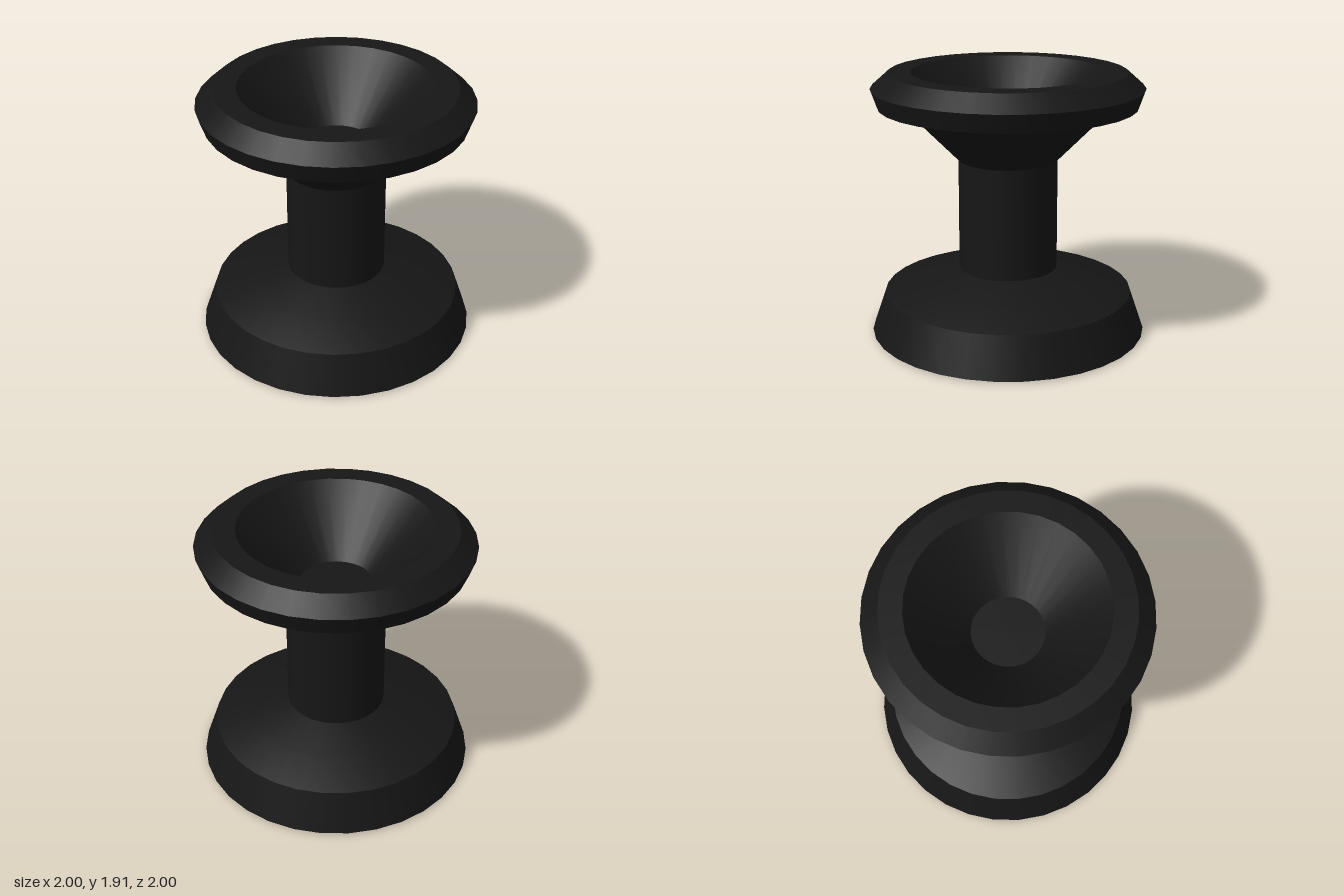
import * as THREE from 'three';
import { mergeGeometries } from 'three/addons/utils/BufferGeometryUtils.js';

const SIDES = 32;
const material = new THREE.MeshStandardMaterial({ color: 0x161616 });

// Turned part: each band is its own lathe, so it is smooth around and sharp between bands.
function turned(name, ...bands) {
  const lathes = bands.map(band =>
    new THREE.LatheGeometry(band.map(([r, y]) => new THREE.Vector2(r, y)), SIDES));
  const mesh = new THREE.Mesh(mergeGeometries(lathes), material);
  mesh.name = name;
  return mesh;
}

export function createModel() {
  const group = new THREE.Group();
  group.name = 'pedestalDish';

  // Flared foot with a gently domed top
  group.add(turned('base',
    [[0, 0], [1, 0.01]],
    [[1, 0.01], [0.9, 0.3]],
    [[0.9, 0.3], [0.65, 0.395], [0.357, 0.475]]));

  // Straight stem
  group.add(turned('column', [[0.357, 0.475], [0.355, 1.28]]));

  // Underside of the dish
  group.add(turned('outerCone', [[0.355, 1.28], [0.78, 1.715]]));

  // Bevelled rim, slightly undercut below
  group.add(turned('rim',
    [[0.78, 1.715], [0.92, 1.67]],
    [[0.92, 1.67], [0.965, 1.8]],
    [[0.965, 1.8], [0.84, 1.91]],
    [[0.84, 1.91], [0.68, 1.91]]));

  // Conical hollow with a flat floor
  group.add(turned('bowl',
    [[0.68, 1.91], [0.255, 1.47]],
    [[0.255, 1.47], [0, 1.47]]));

  return group;
}
